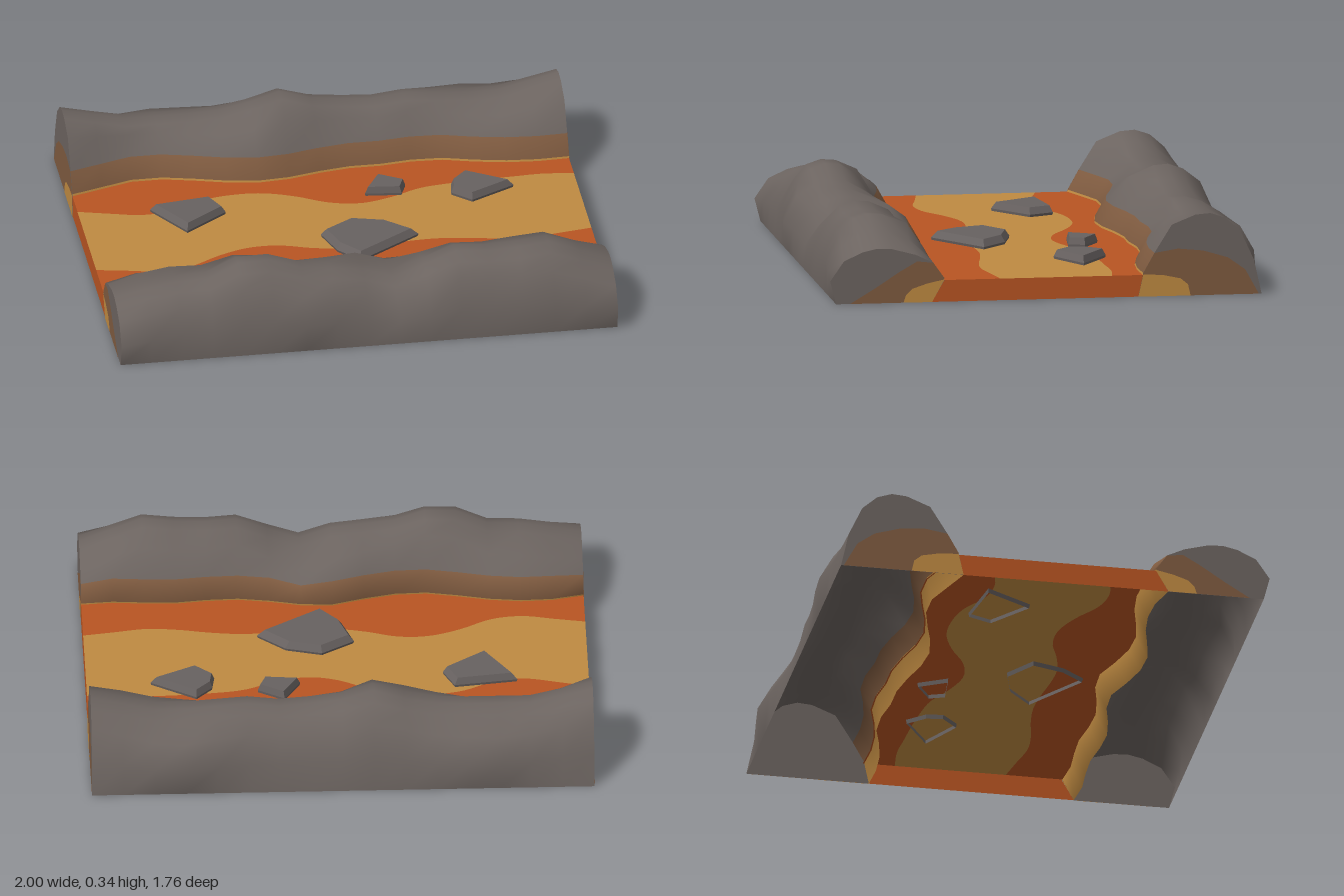
import * as THREE from 'three';

const mat = (name, color) => {
  const m = new THREE.MeshStandardMaterial({ color, side: THREE.DoubleSide });
  m.name = name;
  return m;
};
const LAVA_Y = 0.087;
const N = 16; // segments along x

// Bank data at 17 stations from x = -1 to x = 1 (z as distance from the middle)
const BANKS = {
  front: {
    s: 1, foot: 0.05, crest: 0.69,
    height: [.22, .245, .265, .27, .33, .333, .29, .275, .26, .215, .26, .31, .3, .305, .32, .27, .22],
    inner: [.42, .39, .385, .4, .43, .455, .45, .42, .38, .385, .415, .435, .43, .415, .42, .43, .42],
    bulge: [.88, .865, .855, .85, .85, .855, .88, .86, .85, .85, .855, .85, .85, .855, .86, .87, .88],
  },
  back: {
    s: -1, foot: -0.02, crest: 0.65,
    height: [.33, .3, .27, .27, .27, .275, .3, .34, .3, .285, .275, .29, .28, .27, .27, .3, .33],
    inner: [.38, .42, .46, .46, .43, .395, .375, .385, .415, .435, .435, .45, .445, .41, .385, .375, .38],
    bulge: [.825, .835, .85, .872, .865, .85, .84, .835, .83, .83, .835, .84, .86, .882, .865, .84, .825],
  },
};

// Cross-section of a bank, from outer foot over the crest to inner foot: [distance, y]
function section(b, k) {
  const h = b.height[k], e = b.inner[k], o = b.bulge[k];
  return [
    [0.856, 0], [o, 0.42 * h], [o - 0.055, 0.78 * h], [b.crest + 0.06, 0.94 * h],
    [b.crest, h], [b.crest - 0.06, 0.985 * h], [e + 0.115, 0.87 * h],
    [e + 0.045, Math.min(0.175, 0.72 * h)], [e, 0.095], [e + b.foot, 0],
  ];
}

// Smooth bank shell; the lowest inner rows glow
function bankGeometry(b) {
  const pos = [], index = [];
  for (let i = 0; i <= N; i++) {
    const k = b.s > 0 ? i : N - i;
    for (const [z, y] of section(b, k)) pos.push(b.s * (-1 + (2 * i) / N), y, b.s * z);
  }
  const rows = 10;
  for (let j = 0; j < rows - 1; j++)
    for (let i = 0; i < N; i++) {
      const a = i * rows + j, c = a + rows;
      index.push(a, c, c + 1, a, c + 1, a + 1);
    }
  const g = new THREE.BufferGeometry();
  g.setAttribute('position', new THREE.Float32BufferAttribute(pos, 3));
  g.setIndex(index);
  g.computeVertexNormals();
  g.addGroup(0, 7 * N * 6, 0);
  g.addGroup(7 * N * 6, N * 6, 1);
  g.addGroup(8 * N * 6, N * 6, 2);
  return g;
}

// Flat upright plate at an end of the tile, from [z, y] points
function endPlate(points, end, lift) {
  const shape = new THREE.Shape(points.map(([z, y]) => new THREE.Vector2(-end * z, y)));
  const g = new THREE.ShapeGeometry(shape);
  g.rotateY((end * Math.PI) / 2);
  g.translate(end * (1 + lift), 0, 0);
  return g;
}

// Flat horizontal ribbon between two wavy edges given as [x, z] lists
function ribbon(edgeA, edgeB) {
  const pts = [...edgeA, ...edgeB.slice().reverse()].map(([x, z]) => new THREE.Vector2(x, -z));
  const g = new THREE.ShapeGeometry(new THREE.Shape(pts));
  g.rotateX(-Math.PI / 2);
  g.translate(0, LAVA_Y, 0);
  return g;
}

// Smooth wavy edge through evenly spaced z values
function wavy(zs) {
  const step = 2 / (zs.length - 1);
  const curve = new THREE.SplineCurve(zs.map((z, i) => new THREE.Vector2(-1 + i * step, z)));
  return curve.getPoints(60).map((p) => [p.x, p.y]);
}

// Faceted slab: outline at the lava, slightly smaller on top
function slabGeometry(outline) {
  const n = outline.length;
  const cx = outline.reduce((t, p) => t + p[0], 0) / n;
  const cz = outline.reduce((t, p) => t + p[1], 0) / n;
  const ring = (f, y) => outline.map(([x, z]) => [cx + (x - cx) * f, y, cz + (z - cz) * f]);
  const rings = [ring(0.95, 0.07), ring(1, 0.097), ring(0.86, 0.124)];
  const pos = [];
  for (let i = 0; i < n; i++) {
    const j = (i + 1) % n;
    for (let r = 0; r < 2; r++) {
      const [a, b, c, d] = [rings[r][i], rings[r][j], rings[r + 1][j], rings[r + 1][i]];
      pos.push(...a, ...c, ...b, ...a, ...d, ...c);
    }
    pos.push(cx, 0.124, cz, ...rings[2][j], ...rings[2][i]);
  }
  const g = new THREE.BufferGeometry();
  g.setAttribute('position', new THREE.Float32BufferAttribute(pos, 3));
  g.computeVertexNormals();
  return g;
}

export function createModel() {
  const rock = mat('bank rock', 0x6c6460);
  const slabRock = mat('slab rock', 0x676160);
  const scorched = mat('scorched rock', 0x7f5b40);
  const orange = mat('orange lava', 0xb85422);
  const yellow = mat('yellow lava', 0xbf8a41);

  const model = new THREE.Group();
  model.name = 'lavaChannel';
  const add = (name, geometry, material) => {
    const m = new THREE.Mesh(geometry, material);
    m.name = name;
    model.add(m);
  };

  // Rocky banks with closed ends
  for (const [name, b] of Object.entries(BANKS)) {
    add(name + 'Bank', bankGeometry(b), [rock, scorched, yellow]);
    for (const end of [-1, 1]) {
      const k = end < 0 ? 0 : N;
      const e = b.inner[k], foot = e + b.foot;
      const signed = (pts) => pts.map(([z, y]) => [b.s * z, y]);
      add(name + 'BankEnd', endPlate(signed(section(b, k)), end, 0), rock);
      // Heat glow spreading from the inner foot
      const glow = b.s > 0
        ? [[foot, 0], [e, .095], [e + .045, .158], [.53, .165], [.6, .125], [.7, .06], [.8, 0]]
        : [[foot, 0], [e, .095], [e + .045, .175], [.52, .19], [.62, .18], [.72, .15], [.79, .1], [.845, 0]];
      add(name + 'BankGlow', endPlate(signed(glow), end, 0.001), scorched);
      const core = b.s > 0
        ? [[foot, 0], [e, .09], [.49, .075], [.55, .055], [.575, .03], [.585, 0]]
        : [[foot, 0], [e, .09], [.46, .085], [.53, .07], [.56, .045], [.57, 0]];
      add(name + 'BankCore', endPlate(signed(core), end, 0.002), yellow);
    }
  }

  // Lava surface: hot middle stream with cooler margins
  const backEdge = wavy([-.25, -.215, -.185, -.2, -.265, -.29, -.285, -.24, -.17, -.145, -.175, -.23, -.25, -.26, -.265, -.27, -.255]);
  const frontEdge = wavy([.23, .255, .28, .26, .19, .145, .145, .185, .21, .205, .19, .185, .2, .225, .235, .215, .195]);
  const shore = (b) => b.inner.map((z, i) => [-1 + (2 * i) / N, b.s * (z + 0.004)]);
  add('lavaStream', ribbon(frontEdge, backEdge), yellow);
  add('lavaFrontMargin', ribbon(shore(BANKS.front), frontEdge), orange);
  add('lavaBackMargin', ribbon(backEdge, shore(BANKS.back)), orange);

  // Lava walls closing both ends of the channel
  for (const end of [-1, 1])
    add('lavaEnd', endPlate([[.47, 0], [.42, LAVA_Y], [-.38, LAVA_Y], [-.36, 0]], end, 0), orange);

  // Floating rock slabs
  const slabs = [
    [[-.715, -.205], [-.465, -.24], [-.42, -.14], [-.595, -.01]],
    [[.215, -.315], [.32, -.25], [.295, -.185], [.15, -.2]],
    [[.565, -.295], [.745, -.18], [.565, -.085], [.49, -.155], [.5, -.225]],
    [[.055, .015], [.2, .055], [.31, .155], [.05, .33], [-.03, .235], [-.075, .1]],
  ];
  for (const outline of slabs) add('rockSlab', slabGeometry(outline), slabRock);

  return model;
}
